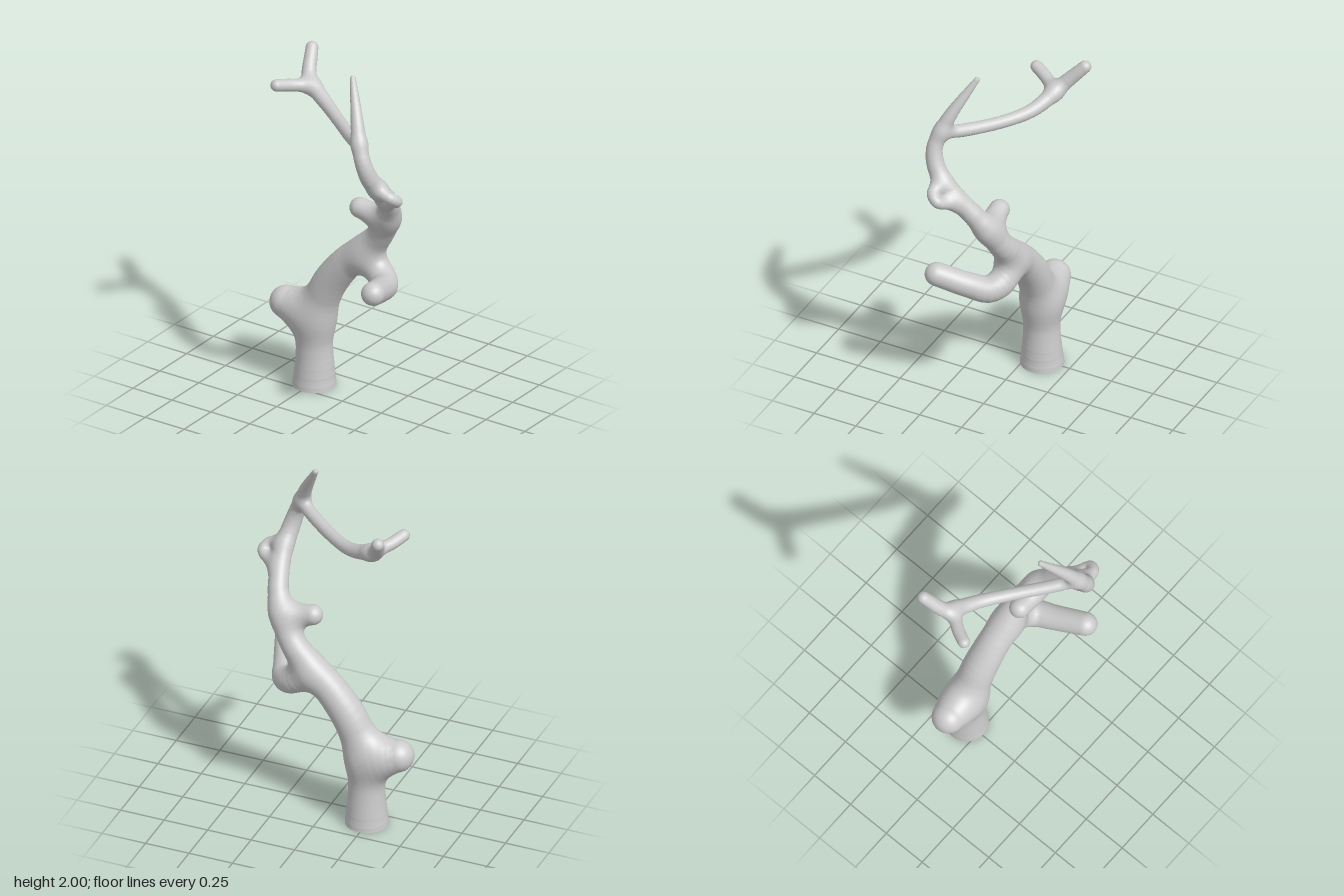
import * as THREE from 'three';

const limbs = [];

// A limb is a spline of [x, y, z, radius] points; blend is the size of the fillet where it joins.
function addLimb(name, blend, points) {
  const path = new THREE.CatmullRomCurve3(points.map(p => new THREE.Vector3(p[0], p[1], p[2])));
  const girth = new THREE.CatmullRomCurve3(points.map(p => new THREE.Vector3(p[3], 0, 0)), false, 'catmullrom');
  const steps = (points.length - 1) * 4;
  const chain = Array.from({ length: steps + 1 }, (_, i) => {
    const p = path.getPoint(i / steps);
    return [p.x, p.y, p.z, girth.getPoint(i / steps).x];
  });
  limbs.push({ name, blend, chain });
}

// main stem, running below the ground so the cut base stays level
addLimb('mainStem', 0.02, [
  [-0.243, -0.1, -0.09, 0.13], [-0.24, 0.12, -0.09, 0.105], [-0.238, 0.27, -0.088, 0.097],
  [-0.213, 0.45, -0.088, 0.096], [-0.145, 0.62, -0.088, 0.094], [-0.035, 0.77, -0.086, 0.088],
  [0.085, 0.89, -0.086, 0.081], [0.185, 1, -0.08, 0.071], [0.3, 1.2, -0.008, 0.058],
  [0.35, 1.4, 0.158, 0.052], [0.338, 1.5, 0.235, 0.049], [0.312, 1.6, 0.261, 0.044],
  [0.272, 1.7, 0.24, 0.04], [0.231, 1.8, 0.198, 0.034], [0.136, 1.985, 0.1, 0.016],
]);
// thick cut stub low on the stem
addLimb('lowerStub', 0.12, [
  [-0.25, 0.4, -0.09, 0.075], [-0.33, 0.423, -0.083, 0.1], [-0.411, 0.444, -0.073, 0.089],
]);
// bent branch reaching forward
addLimb('forwardBranch', 0.1, [
  [0.11, 0.83, -0.085, 0.06], [0.185, 0.778, -0.08, 0.074], [0.25, 0.748, -0.03, 0.073],
  [0.288, 0.766, 0.06, 0.068], [0.353, 0.825, 0.226, 0.064],
]);
// short stub half way up
addLimb('middleStub', 0.09, [
  [0.26, 1.147, -0.03, 0.045], [0.19, 1.15, -0.02, 0.056], [0.102, 1.166, -0.016, 0.056],
]);
// thin ridge on the outer bend
addLimb('knob', 0.06, [
  [0.36, 1.42, 0.19, 0.03], [0.437, 1.408, 0.205, 0.032], [0.464, 1.375, 0.165, 0.031],
  [0.375, 1.33, 0.115, 0.03],
]);
// slender upper branch with a forked end
addLimb('upperBranch', 0.05, [
  [0.272, 1.69, 0.235, 0.03], [0.2, 1.668, 0.18, 0.035], [0, 1.655, 0.022, 0.034],
  [-0.14, 1.67, -0.075, 0.037], [-0.25, 1.708, -0.127, 0.042], [-0.32, 1.745, -0.158, 0.041],
  [-0.382, 1.872, -0.272, 0.034],
]);
addLimb('forkProng', 0.05, [
  [-0.29, 1.725, -0.14, 0.034], [-0.362, 1.744, -0.05, 0.034], [-0.403, 1.763, 0.028, 0.033],
]);

// Distance from a point to the skin of one chain.
function chainDistance(chain, x, y, z) {
  let best = Infinity;
  for (let i = 1; i < chain.length; i++) {
    const a = chain[i - 1], b = chain[i];
    const dx = b[0] - a[0], dy = b[1] - a[1], dz = b[2] - a[2];
    const px = x - a[0], py = y - a[1], pz = z - a[2];
    const t = Math.max(0, Math.min(1, (px * dx + py * dy + pz * dz) / (dx * dx + dy * dy + dz * dz)));
    const ex = px - t * dx, ey = py - t * dy, ez = pz - t * dz;
    best = Math.min(best, Math.sqrt(ex * ex + ey * ey + ez * ez) - a[3] - t * (b[3] - a[3]));
  }
  return best;
}

// All limbs joined with smooth fillets.
function field(x, y, z) {
  let d = 10;
  for (const { chain, blend } of limbs) {
    const e = chainDistance(chain, x, y, z);
    const h = Math.max(0, blend - Math.abs(d - e)) / blend;
    d = Math.min(d, e) - h * h * blend / 4;
  }
  return d;
}

function gradient({ x, y, z }) {
  const e = 0.002;
  return new THREE.Vector3(
    field(x + e, y, z) - field(x - e, y, z),
    field(x, y + e, z) - field(x, y - e, z),
    field(x, y, z + e) - field(x, y, z - e)).normalize();
}

export function createModel() {
  // sample the field on a grid that starts at the ground, leaving the cut base open
  const step = 0.0125, origin = [-0.54, 0, -0.36], size = [88, 164, 58];
  const stride = [1, size[0], size[0] * size[1]];
  const values = new Float32Array(size[0] * size[1] * size[2]);
  const eachNode = visit => {
    for (let k = 0, id = 0; k < size[2]; k++)
      for (let j = 0; j < size[1]; j++)
        for (let i = 0; i < size[0]; i++, id++) visit([i, j, k], id);
  };
  eachNode((n, id) => {
    values[id] = field(...n.map((v, a) => origin[a] + v * step));
  });

  // one skin vertex in every cell the surface crosses
  const positions = [], normals = [], owners = [], vertexOf = new Map();
  eachNode((n, id) => {
    if (n.some((v, a) => v === size[a] - 1)) return;
    const sum = new THREE.Vector3();
    let hits = 0;
    for (let corner = 0; corner < 8; corner++) {
      const bits = [corner & 1, (corner >> 1) & 1, corner >> 2];
      const from = id + bits[0] + bits[1] * stride[1] + bits[2] * stride[2];
      for (let a = 0; a < 3; a++) {
        if (bits[a]) continue;
        const f = values[from], g = values[from + stride[a]];
        if (f < 0 === g < 0) continue;
        const at = [...bits];
        at[a] = f / (f - g);
        sum.add(new THREE.Vector3(...at));
        hits++;
      }
    }
    if (!hits) return;
    const p = sum.divideScalar(hits).add(new THREE.Vector3(...n)).multiplyScalar(step)
      .add(new THREE.Vector3(...origin));
    p.addScaledVector(gradient(p), -field(p.x, p.y, p.z));
    if (n[1] === 0) p.y = 0;
    vertexOf.set(id, owners.length);
    positions.push(...p.toArray());
    normals.push(...gradient(p).toArray());
    const distances = limbs.map(({ chain }) => chainDistance(chain, p.x, p.y, p.z));
    owners.push(distances.indexOf(Math.min(...distances)));
  });

  // a quad across every crossed grid edge, sorted to the limb it belongs to
  const faces = limbs.map(() => []);
  eachNode((n, id) => {
    for (let a = 0; a < 3; a++) {
      const b = (a + 1) % 3, c = (a + 2) % 3;
      if (n[a] === size[a] - 1 || n[b] === 0 || n[c] === 0) continue;
      const inside = values[id] < 0;
      if (inside === values[id + stride[a]] < 0) continue;
      const quad = [id, id - stride[b], id - stride[b] - stride[c], id - stride[c]].map(v => vertexOf.get(v));
      if (!inside) quad.reverse();
      const [q0, q1, q2, q3] = quad;
      faces[owners[q0]].push(q0, q1, q2, q0, q2, q3);
    }
  });

  const bark = new THREE.MeshStandardMaterial({ color: 0xcccccc, side: THREE.DoubleSide });
  const group = new THREE.Group();
  group.name = 'branch';
  limbs.forEach(({ name }, i) => {
    const skin = new THREE.BufferGeometry();
    skin.setAttribute('position', new THREE.Float32BufferAttribute(positions, 3));
    skin.setAttribute('normal', new THREE.Float32BufferAttribute(normals, 3));
    skin.setIndex(faces[i]);
    const mesh = new THREE.Mesh(skin.toNonIndexed(), bark);
    mesh.name = name;
    group.add(mesh);
  });
  return group;
}
